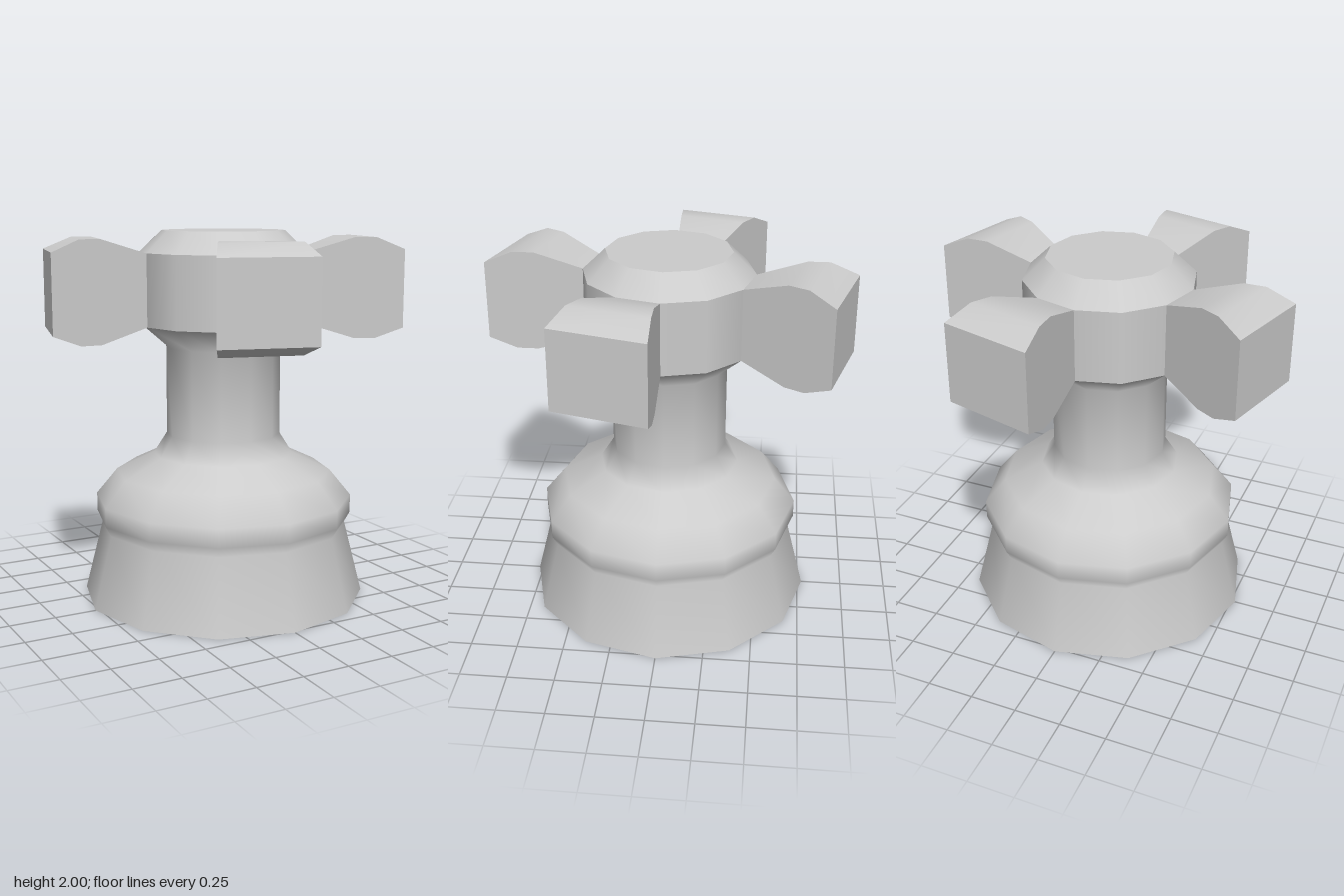
import * as THREE from 'three';
import { toCreasedNormals } from 'three/addons/utils/BufferGeometryUtils.js';

const SIDES = 12;
const STEP = (Math.PI * 2) / SIDES;

export function createModel() {
  const model = new THREE.Group();
  model.name = 'tapHandle';
  const material = new THREE.MeshStandardMaterial({ color: 0xcccccc, side: THREE.DoubleSide });

  const add = (name, geometry, parent = model) => {
    const mesh = new THREE.Mesh(geometry, material);
    mesh.name = name;
    parent.add(mesh);
    return mesh;
  };

  // Twelve-sided turned part, smooth along its [radius, height] profile
  const turned = (name, profile) =>
    add(name, new THREE.LatheGeometry(profile.map(([r, y]) => new THREE.Vector2(r, y)), SIDES));

  // Open-bottomed skirt, rounded shoulder, stem and flare under the hub
  turned('bodyAndStem', [
    [0.775, 0], [0.675, 0.395], [0.705, 0.45], [0.705, 0.55], [0.59, 0.69],
    [0.38, 0.79], [0.31, 0.9], [0.31, 1.38], [0.45, 1.5],
  ]);

  // Hub: upright wall, bevel and flat top, with sharp edges between them
  turned('hubWall', [[0.45, 1.5], [0.45, 1.885]]);
  turned('hubBevel', [[0.45, 1.885], [0.33, 2]]);
  turned('hubTop', [[0.33, 2], [0, 2]]);

  // Handle arm: side outline in radius and height, fanned over one hub facet
  const outline = new THREE.Shape([
    [0.45, 1.5], [0.705, 1.423], [0.82, 1.423], [0.97, 1.48],
    [0.97, 1.9], [0.82, 1.963], [0.705, 1.963], [0.45, 1.885],
  ].map(([r, y]) => new THREE.Vector2(r, y)));
  const wedge = new THREE.ExtrudeGeometry(outline, { depth: 1, steps: 1, bevelEnabled: false });
  const pos = wedge.attributes.position;
  for (let i = 0; i < pos.count; i++) {
    const r = pos.getX(i);
    const angle = pos.getZ(i) * STEP;
    pos.setXYZ(i, r * Math.cos(angle), pos.getY(i), r * Math.sin(angle));
  }
  const armGeometry = toCreasedNormals(wedge, THREE.MathUtils.degToRad(40));

  const arms = new THREE.Group();
  arms.name = 'handleArms';
  model.add(arms);
  for (let i = 0; i < 4; i++) {
    add('handleArm' + (i + 1), armGeometry, arms).rotation.y = (i * Math.PI) / 2;
  }

  return model;
}
